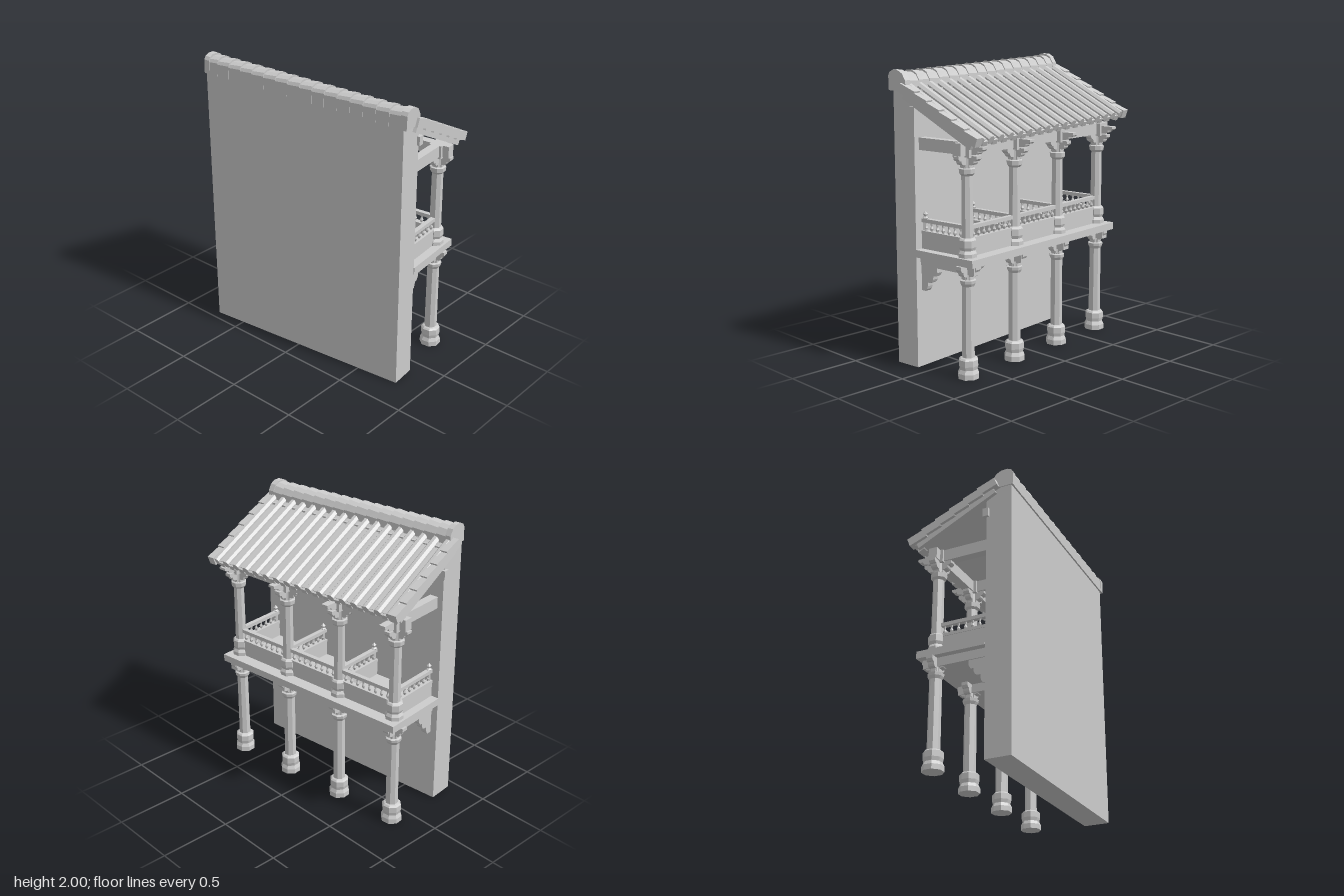
import * as THREE from 'three';

const stone = new THREE.MeshStandardMaterial({ color: 0xcccccc, flatShading: true });
stone.name = 'pale stone';

function add(parent, name, geo, x = 0, y = 0, z = 0) {
  const m = new THREE.Mesh(geo, stone);
  m.name = name;
  m.position.set(x, y, z);
  parent.add(m);
  return m;
}

// Box given by its minimum and maximum corners
function block(parent, name, x0, x1, y0, y1, z0, z1) {
  return add(parent, name, new THREE.BoxGeometry(x1 - x0, y1 - y0, z1 - z0),
    (x0 + x1) / 2, (y0 + y1) / 2, (z0 + z1) / 2);
}

function lathe(parent, name, profile, sides, x, y, z) {
  const geo = new THREE.LatheGeometry(profile.map(p => new THREE.Vector2(...p)), sides);
  geo.rotateY(Math.PI / sides);
  return add(parent, name, geo, x, y, z);
}

// Scalloped corbel reaching outward by len from (x, top, z)
function corbel(parent, name, x, top, z, angle, len, h, w) {
  const s = new THREE.Shape();
  s.moveTo(0, 0);
  s.lineTo(0, -h);
  s.lineTo(len * 0.25, -h);
  s.quadraticCurveTo(len * 0.4, -h * 0.9, len * 0.4, -h * 0.65);
  s.lineTo(len * 0.55, -h * 0.65);
  s.quadraticCurveTo(len * 0.75, -h * 0.6, len * 0.75, -h * 0.35);
  s.lineTo(len * 0.88, -h * 0.35);
  s.lineTo(len, -h * 0.2);
  s.lineTo(len, 0);
  const geo = new THREE.ExtrudeGeometry(s, { depth: w, bevelEnabled: false, curveSegments: 3 });
  geo.translate(0, 0, -w / 2);
  geo.rotateY(angle);
  return add(parent, name, geo, x, top, z);
}

const COLUMNS = [-0.7, -0.233, 0.233, 0.7];
const ROW = -0.205, WALL_BACK = 0.18;

// Railing of turned balusters on a low parapet, from (x0,z0) to (x1,z1)
function railing(parent, x0, z0, x1, z1) {
  const g = new THREE.Group();
  g.name = 'railing';
  const len = Math.hypot(x1 - x0, z1 - z0);
  block(g, 'parapet', 0, len, 0.8, 0.9, -0.016, 0.016);
  block(g, 'bottomRail', 0, len, 0.9, 0.92, -0.02, 0.02);
  block(g, 'topRail', 0, len, 0.975, 1.0, -0.016, 0.016);
  const n = Math.round(len / 0.05);
  for (let i = 0; i < n; i++) {
    lathe(g, 'baluster', [[0.006, 0], [0.013, 0.018], [0.006, 0.035], [0.01, 0.055]], 6,
      (i + 0.5) * len / n, 0.92, 0);
  }
  g.position.set(x0, 0, z0);
  g.rotation.y = -Math.atan2(z1 - z0, x1 - x0);
  parent.add(g);
}

function buildColumn(parent, x) {
  const g = new THREE.Group();
  g.name = 'column';
  g.position.set(x, 0, ROW);
  parent.add(g);
  lathe(g, 'lowerColumn', [[0, 0], [0.072, 0], [0.072, 0.035], [0.06, 0.06], [0.066, 0.085],
    [0.066, 0.125], [0.056, 0.135], [0.043, 0.14], [0.041, 0.61], [0.052, 0.63], [0.055, 0.65],
    [0.04, 0.655], [0.04, 0.76]], 8, 0, 0, 0);
  lathe(g, 'upperColumn', [[0.062, 0.8], [0.062, 0.825], [0.05, 0.845], [0.058, 0.865],
    [0.058, 0.91], [0.05, 0.92], [0.04, 0.925], [0.038, 1.32], [0.052, 1.335], [0.055, 1.365],
    [0.042, 1.37], [0.042, 1.5]], 8, 0, 0, 0);
  for (let k = 0; k < 4; k++) {
    const a = k * Math.PI / 2;
    corbel(g, 'lowerBracket', 0, 0.75, 0, a, 0.09, 0.11, 0.045);
    corbel(g, 'upperBracket', 0, 1.45, 0, a, 0.1, 0.09, 0.045);
  }
  // Arm carrying the eave
  corbel(g, 'eaveBracket', 0, 1.51, 0, Math.PI / 2, 0.15, 0.08, 0.05);
  block(g, 'postHead', -0.045, 0.045, 1.44, 1.53, -0.06, 0.05);
}

function buildRoof() {
  const roof = new THREE.Group();
  roof.name = 'roof';
  roof.position.y = 1.9;
  roof.rotation.z = -0.03;

  const slope = new THREE.Group();
  slope.name = 'tiledSlope';
  slope.position.set(0, 0.005, 0.24);
  slope.rotation.x = -Math.atan(0.5);
  roof.add(slope);
  const L = 0.69;
  block(slope, 'roofDeck', -0.79, 0.79, -0.06, -0.03, -L + 0.015, 0);
  // Cover tiles and the lips between them at the eave
  for (let i = 0; i < 17; i++) {
    const x = -0.755 + i * 0.0944;
    const rib = new THREE.CylinderGeometry(0.028, 0.031, L, 8);
    rib.rotateX(-Math.PI / 2);
    rib.rotateZ(Math.PI / 8);
    rib.rotateX(Math.PI).rotateX(Math.PI);
    add(slope, 'coverTile', rib, x, -0.03, -L / 2);
    if (i < 16) block(slope, 'eaveTile', x + 0.025, x + 0.07, -0.068, -0.034, -L, -L + 0.05);
  }
  // Overlapping verge tiles down both edges
  for (const s of [-1, 1]) {
    for (let i = 0; i < 6; i++) {
      const t = add(slope, 'vergeTile', new THREE.BoxGeometry(0.055, 0.06, L / 6 + 0.02),
        s * 0.79, -0.032, -(i + 0.5) * L / 6);
      t.rotation.x = 0.1;
    }
    block(slope, 'vergeBoard', s * 0.785 - 0.012, s * 0.785 + 0.012, -0.1, -0.04, -L + 0.03, -0.03);
  }

  // Ridge of tapering tiles
  const profile = [[-0.372, -0.05], [-0.22, -0.05], [-0.225, 0.015], [-0.25, 0.055],
    [-0.285, 0.073], [-0.33, 0.075], [-0.36, 0.062], [-0.372, 0.04]].map(p => new THREE.Vector2(...p));
  const ridgePiece = (name, x, w, grow0, grow1) => {
    const geo = new THREE.ExtrudeGeometry(new THREE.Shape(profile), { depth: w, bevelEnabled: false });
    const p = geo.attributes.position;
    for (let i = 0; i < p.count; i++) {
      const k = p.getZ(i) > w / 2 ? grow1 : grow0;
      p.setXY(i, -0.296 + (p.getX(i) + 0.296) * (1 + (k - 1) * 0.3), -0.05 + (p.getY(i) + 0.05) * k);
    }
    geo.rotateY(Math.PI / 2);
    geo.computeVertexNormals();
    add(roof, name, geo, x, 0, 0);
  };
  for (let i = 0; i < 16; i++) ridgePiece('ridgeTile', -0.76 + i * 0.0955, 0.0955, 0.9, 1.0);
  ridgePiece('ridgeEnd', -0.775, 0.04, 1.04, 1.04);
  ridgePiece('ridgeEnd', 0.755, 0.045, 1.06, 1.06);
  return roof;
}

export function createModel() {
  const model = new THREE.Group();
  model.name = 'balconyFacade';
  const body = new THREE.Group();
  body.name = 'building';
  body.rotation.y = 0.104;
  model.add(body);

  // Wall with a gently sloping top
  const w = new THREE.Shape([[-0.77, 0], [0.77, 0], [0.77, 1.83], [-0.77, 1.873]]
    .map(p => new THREE.Vector2(...p)));
  add(body, 'wall', new THREE.ExtrudeGeometry(w, { depth: 0.18, bevelEnabled: false }), 0, 0, WALL_BACK);

  // Balcony floor and eave beam
  block(body, 'balconyFloor', -0.775, 0.775, 0.75, 0.8, -0.31, WALL_BACK);
  block(body, 'eaveBeam', -0.79, 0.79, 1.45, 1.53, ROW - 0.03, ROW + 0.03);
  block(body, 'wallPlate', -0.79, 0.79, 1.67, 1.73, 0.16, 0.2);

  // Columns with cross beams, wall corbels and railings
  COLUMNS.forEach((x, i) => {
    buildColumn(body, x);
    block(body, 'floorBeam', x - 0.03, x + 0.03, 0.69, 0.75, ROW - 0.08, WALL_BACK);
    block(body, 'tieBeam', x - 0.03, x + 0.03, 1.45, 1.53, ROW, WALL_BACK);
    corbel(body, 'wallCorbel', x, 0.69, WALL_BACK, Math.PI / 2, 0.14, 0.17, 0.045);
    railing(body, x, ROW + 0.03, x, WALL_BACK);
    lathe(body, 'railPost', [[0.014, 0.8], [0.014, 1.0], [0.02, 1.005], [0.01, 1.015],
      [0.017, 1.03], [0, 1.05]], 6, x, 0, WALL_BACK - 0.02);
    if (i < 3) railing(body, x + 0.03, ROW, COLUMNS[i + 1] - 0.03, ROW);
  });

  body.add(buildRoof());
  return model;
}
